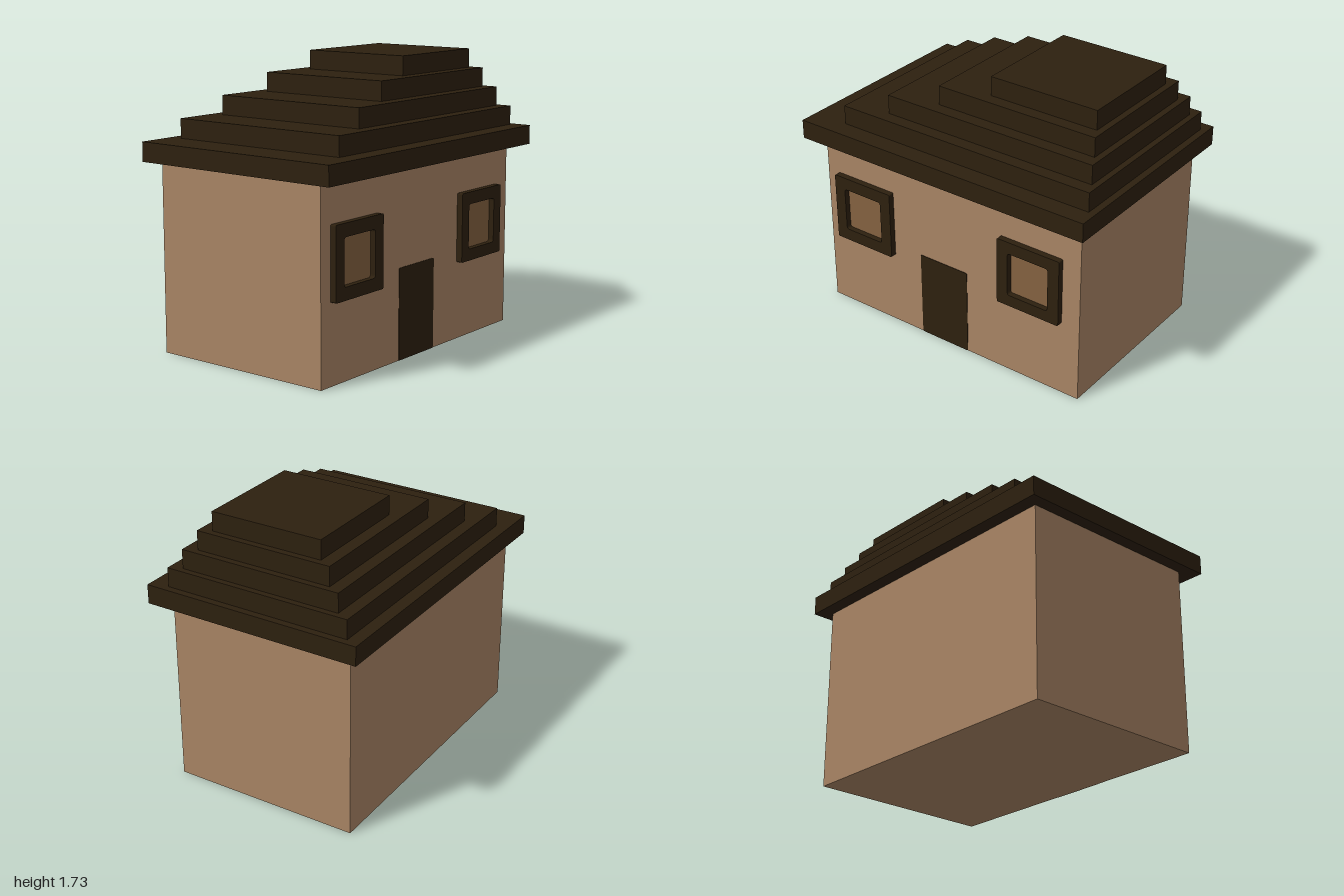
import * as THREE from 'three';

const material = (name, color) => {
  const m = new THREE.MeshStandardMaterial({ color });
  m.name = name;
  return m;
};

// Rounded rectangle traced between two corners
function roundedRect(path, x0, y0, x1, y1, r) {
  path.moveTo(x0 + r, y0);
  path.lineTo(x1 - r, y0);
  path.quadraticCurveTo(x1, y0, x1, y0 + r);
  path.lineTo(x1, y1 - r);
  path.quadraticCurveTo(x1, y1, x1 - r, y1);
  path.lineTo(x0 + r, y1);
  path.quadraticCurveTo(x0, y1, x0, y1 - r);
  path.lineTo(x0, y0 + r);
  path.quadraticCurveTo(x0, y0, x0 + r, y0);
  return path;
}

export function createModel() {
  const house = new THREE.Group();
  house.name = 'house';
  const plaster = material('plaster', 0xa88464);
  const darkWood = material('darkWood', 0x2d200f);
  const pane = material('pane', 0x846240);
  const wallFront = 0.57;

  const add = (name, geometry, mat, parent = house) => {
    const mesh = new THREE.Mesh(geometry, mat);
    mesh.name = name;
    parent.add(mesh);
    return mesh;
  };

  // Box given by its extents on each axis
  const block = (name, [x0, x1], [y0, y1], [z0, z1], mat, parent) =>
    add(name, new THREE.BoxGeometry(x1 - x0, y1 - y0, z1 - z0), mat, parent)
      .position.set((x0 + x1) / 2, (y0 + y1) / 2, (z0 + z1) / 2);

  // Extruded shape standing on the front wall
  const onFront = (name, shape, depth, mat, parent) => {
    const geometry = new THREE.ExtrudeGeometry(shape, { depth, bevelEnabled: false, curveSegments: 4 });
    add(name, geometry, mat, parent).position.z = wallFront;
  };

  block('walls', [-0.925, 0.92], [0, 1.14], [-0.605, wallFront], plaster);

  // Stepped roof, its tiers drifting towards one end
  const roof = new THREE.Group();
  roof.name = 'roof';
  house.add(roof);
  const tierHeight = 0.1175;
  const tiers = [
    [[-1, 1], [-0.687, 0.687]],
    [[-0.765, 0.957], [-0.608, 0.57]],
    [[-0.49, 0.92], [-0.53, 0.49]],
    [[-0.177, 0.88], [-0.452, 0.41]],
    [[0.135, 0.84], [-0.373, 0.333]],
  ];
  tiers.forEach(([x, z], i) => {
    const y = 1.14 + i * tierHeight;
    block(`roofTier${i + 1}`, x, [y, y + tierHeight], z, darkWood, roof);
  });

  // Flat door
  onFront('door', roundedRect(new THREE.Shape(), -0.215, 0, 0.13, 0.55, 0.01), 0.003, darkWood);

  // Windows: raised frame around a thin pane
  const windows = [
    { name: 'rightWindow', outer: [-0.842, 0.474, -0.415, 0.905], inner: [-0.768, 0.55, -0.49, 0.827] },
    { name: 'leftWindow', outer: [0.375, 0.478, 0.8, 0.902], inner: [0.449, 0.55, 0.725, 0.827] },
  ];
  for (const { name, outer, inner } of windows) {
    const group = new THREE.Group();
    group.name = name;
    house.add(group);
    const frame = roundedRect(new THREE.Shape(), ...outer, 0.01);
    frame.holes.push(roundedRect(new THREE.Path(), ...inner, 0.018));
    onFront('windowFrame', frame, 0.038, darkWood, group);
    onFront('windowPane', roundedRect(new THREE.Shape(), ...inner, 0.018), 0.003, pane, group);
  }

  return house;
}
